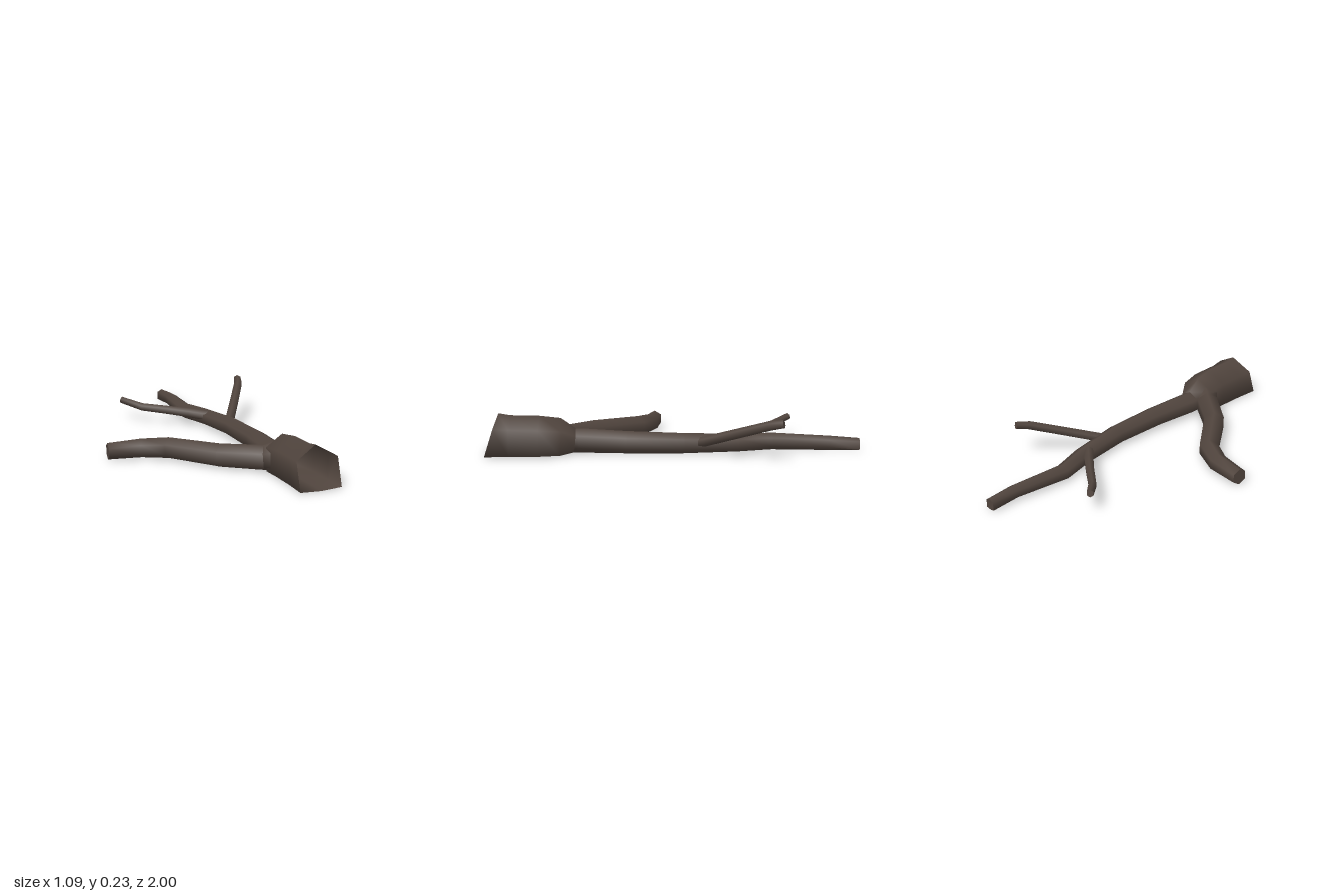
import * as THREE from 'three';

const SIDES = 6;

// Six-sided limb swept through rings [x, y, z, radius]; flattened where it rests on the ground.
function limb(name, rings, material, { capped = true, slant = 0 } = {}) {
  const pos = [], index = [];
  const up = new THREE.Vector3(0, 1, 0);
  const at = (i) => new THREE.Vector3(rings[i][0], rings[i][1], rings[i][2]);
  const last = rings.length - 1;
  const addRing = (i) => {
    const t = at(Math.min(i + 1, last)).sub(at(Math.max(i - 1, 0))).normalize();
    const s = t.clone().cross(up).normalize();
    const u = s.clone().cross(t);
    for (let k = 0; k < SIDES; k++) {
      const a = Math.PI / 6 + (k / SIDES) * Math.PI * 2;
      const p = at(i).addScaledVector(s, Math.cos(a) * rings[i][3]).addScaledVector(u, Math.sin(a) * rings[i][3]);
      if (p.y < 0.022) p.y = Math.max(0, p.y * 0.3);
      if (i === 0 && slant) p.z = rings[0][2] - slant * p.y;
      pos.push(p.x, p.y, p.z);
    }
  };
  for (let i = 0; i <= last; i++) addRing(i);
  for (let i = 0; i < last; i++) {
    for (let k = 0; k < SIDES; k++) {
      const n = (k + 1) % SIDES;
      const a = i * SIDES + k, b = i * SIDES + n;
      index.push(a, a + SIDES, b, b, a + SIDES, b + SIDES);
    }
  }
  // Flat cut at the tip, with its own vertices for a crisp edge
  if (capped) {
    const base = pos.length / 3;
    addRing(last);
    for (let k = 1; k < SIDES - 1; k++) index.push(base, base + k + 1, base + k);
  }
  const geo = new THREE.BufferGeometry();
  geo.setAttribute('position', new THREE.Float32BufferAttribute(pos, 3));
  geo.setIndex(index);
  geo.computeVertexNormals();
  const mesh = new THREE.Mesh(geo, material);
  mesh.name = name;
  return mesh;
}

export function createModel() {
  const bark = new THREE.MeshStandardMaterial({ color: 0x51453e, side: THREE.DoubleSide });
  bark.name = 'dark bark';
  const group = new THREE.Group();
  group.name = 'fallenBranch';

  group.add(
    // Hollow, slanted stump end narrowing to the fork
    limb('trunk', [
      [0.245, 0.085, 1.0, 0.134],
      [0.245, 0.083, 0.87, 0.125],
      [0.248, 0.08, 0.72, 0.125],
      [0.235, 0.075, 0.61, 0.115],
      [0.228, 0.066, 0.53, 0.066],
    ], bark, { capped: false, slant: 0.32 }),
    // Long central limb
    limb('mainLimb', [
      [0.23, 0.066, 0.58, 0.066],
      [0.228, 0.066, 0.5, 0.066],
      [0.258, 0.06, 0.25, 0.061],
      [0.267, 0.054, -0.05, 0.056],
      [0.23, 0.047, -0.34, 0.05],
      [0.178, 0.046, -0.53, 0.046],
      [0.215, 0.042, -0.84, 0.038],
      [0.218, 0.036, -1.0, 0.031],
    ], bark),
    // Raised collar where the side limb leaves the trunk
    limb('forkCollar', [
      [0.25, 0.075, 0.66, 0.095],
      [0.19, 0.073, 0.615, 0.085],
      [0.14, 0.068, 0.585, 0.066],
    ], bark, { capped: false }),
    // Bent side limb
    limb('sideLimb', [
      [0.2, 0.068, 0.62, 0.068],
      [0.12, 0.067, 0.565, 0.067],
      [-0.04, 0.062, 0.44, 0.064],
      [-0.225, 0.056, 0.19, 0.059],
      [-0.355, 0.051, 0.118, 0.053],
      [-0.535, 0.047, 0.087, 0.045],
    ], bark),
    // Thin rising twigs
    limb('leftTwig', [
      [0.26, 0.05, -0.1, 0.028],
      [0.3, 0.07, -0.16, 0.027],
      [0.41, 0.134, -0.33, 0.026],
      [0.505, 0.19, -0.48, 0.025],
      [0.533, 0.205, -0.55, 0.022],
    ], bark),
    limb('rightTwig', [
      [0.225, 0.065, -0.3, 0.03],
      [0.14, 0.073, -0.375, 0.028],
      [0.04, 0.08, -0.46, 0.025],
      [-0.085, 0.088, -0.56, 0.023],
      [-0.177, 0.117, -0.662, 0.02],
    ], bark),
  );
  return group;
}
